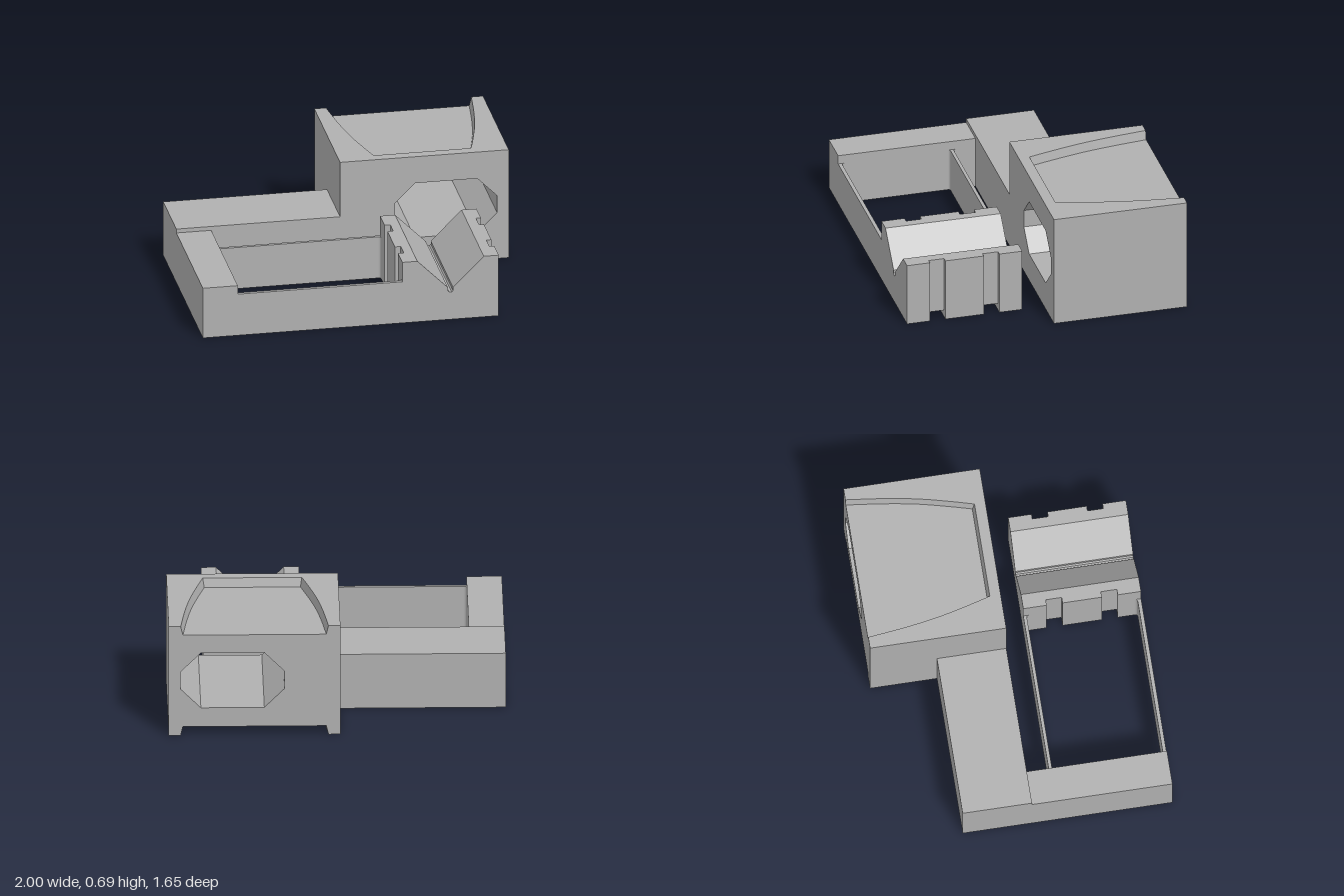
import * as THREE from 'three';

const grey = new THREE.MeshStandardMaterial({ color: 0xb0b0b0 });
grey.name = 'grey plastic';

const toShape = (pts) => new THREE.Shape(pts.map(([x, y]) => new THREE.Vector2(x, y)));

function add(parent, name, geometry) {
  const mesh = new THREE.Mesh(geometry, grey);
  mesh.name = name;
  parent.add(mesh);
  return mesh;
}

// Box given by its limits
function box(parent, name, x0, x1, y0, y1, z0, z1) {
  const g = new THREE.BoxGeometry(x1 - x0, y1 - y0, z1 - z0);
  g.translate((x0 + x1) / 2, (y0 + y1) / 2, (z0 + z1) / 2);
  return add(parent, name, g);
}

// Front profile (x, y) extruded from z0 to z1
function alongZ(shape, z0, z1) {
  const g = new THREE.ExtrudeGeometry(shape, { depth: z1 - z0, bevelEnabled: false });
  return g.translate(0, 0, z0);
}

// Plan (x, -z) extruded upward from y0 to y1
function upward(shape, y0, y1) {
  const g = new THREE.ExtrudeGeometry(shape, { depth: y1 - y0, bevelEnabled: false, curveSegments: 5 });
  return g.rotateX(-Math.PI / 2).translate(0, y0, 0);
}

// Housing limits and pocket depth
const X0 = -0.015, X1 = 1, Z0 = -0.83, Z1 = -0.015, H = 0.695, DEPTH = 0.055;
const CX = (X0 + X1) / 2;

// Raised U-shaped rim round a pocket whose walls slope inward to the floor
function rimGeometry() {
  const half = [[0.437, -0.83], [0.409, -0.6], [0.375, -0.4], [0.326, -0.2], [0.293, -0.08]];
  const curve = new THREE.CatmullRomCurve3(half.map(([x, z]) => new THREE.Vector3(x, 0, z)));
  const side = curve.getPoints(12);
  const pts = [[X0, -Z0], [X0, -Z1], [X1, -Z1], [X1, -Z0]];
  side.forEach((p) => pts.push([CX + p.x, -p.z]));
  [...side].reverse().forEach((p) => pts.push([CX - p.x, -p.z]));
  const g = upward(toShape(pts), H - DEPTH, H);
  const pos = g.attributes.position;
  for (let i = 0; i < pos.count; i++) {
    const x = pos.getX(i), z = pos.getZ(i);
    const outer = x < X0 + 0.01 || x > X1 - 0.01 || z > Z1 - 0.01;
    if (outer || pos.getY(i) > H - 0.01) continue;
    pos.setX(i, CX + (x - CX) * 0.97);
    pos.setZ(i, Z0 + (z - Z0) * 0.98);
  }
  g.computeVertexNormals();
  return g;
}

function housing() {
  const group = new THREE.Group();
  group.name = 'housing';
  // Core with an octagonal tunnel
  const core = toShape([[X0, DEPTH], [X1, DEPTH], [X1, H - DEPTH], [X0, H - DEPTH]]);
  core.holes.push(toShape([
    [0.315, 0.295], [0.315, 0.405], [0.435, 0.525], [0.81, 0.525],
    [0.93, 0.405], [0.93, 0.295], [0.81, 0.175], [0.435, 0.175],
  ]));
  add(group, 'tunnelBody', alongZ(core, Z0, Z1));
  // Same rim above and, turned over, below
  add(group, 'topPocketRim', rimGeometry());
  const under = rimGeometry();
  under.translate(-CX, -H / 2, 0).rotateZ(Math.PI).translate(CX, H / 2, 0);
  add(group, 'bottomPocketRim', under);
  return group;
}

// V-grooved block with strap slots down both sides and underneath
function cradle() {
  const group = new THREE.Group();
  group.name = 'cradle';
  const profile = (x0, x1, y0) => toShape([
    [x0, y0], [x1, y0], [x1, 0.39], [0.69, 0.39], [0.505, 0.205], [0.505, 0.185], [0.497, 0.175],
    [0.483, 0.175], [0.475, 0.185], [0.475, 0.205], [0.29, 0.39], [x0, 0.39],
  ]);
  const cuts = [0.12, 0.26, 0.355, 0.59, 0.685, 0.825];
  for (let i = 0; i < 5; i++) {
    const slotted = i % 2 === 1;
    const shape = slotted ? profile(0.235, 0.75, 0.045) : profile(0.2, 0.78, 0);
    add(group, slotted ? 'strapSlotSection' : 'cradleSection', alongZ(shape, cuts[i], cuts[i + 1]));
  }
  return group;
}

// Thin wall with filleted ends; r is the fillet at [back left, front left, front right, back right]
function thinWall(parent, name, z0, z1, [bl, fl, fr, br]) {
  const a = -0.79, b = 0.2, s = new THREE.Shape();
  s.moveTo(a, -z0 + bl);
  s.lineTo(a, -z1 - fl);
  s.quadraticCurveTo(a, -z1, a + fl, -z1);
  s.lineTo(b - fr, -z1);
  s.quadraticCurveTo(b, -z1, b, -z1 - fr);
  s.lineTo(b, -z0 + br);
  s.quadraticCurveTo(b, -z0, b - br, -z0);
  s.lineTo(a + bl, -z0);
  s.quadraticCurveTo(a, -z0, a, -z0 + bl);
  add(parent, name, upward(s, 0, 0.265));
}

export function createModel() {
  const model = new THREE.Group();
  model.name = 'bracket';
  model.add(housing(), cradle());

  // Arms joining the housing to the frame
  box(model, 'backArm', -1, X0, 0, 0.345, -0.43, Z1);
  box(model, 'sideArm', -1, -0.79, 0, 0.32, Z1, 0.825);

  // Flexible walls holding the cradle
  const r = 0.016;
  thinWall(model, 'innerWall', 0.12, 0.14, [r, r, r, 0]);
  thinWall(model, 'outerWall', 0.803, 0.825, [r, 0, 0, r]);
  return model;
}
